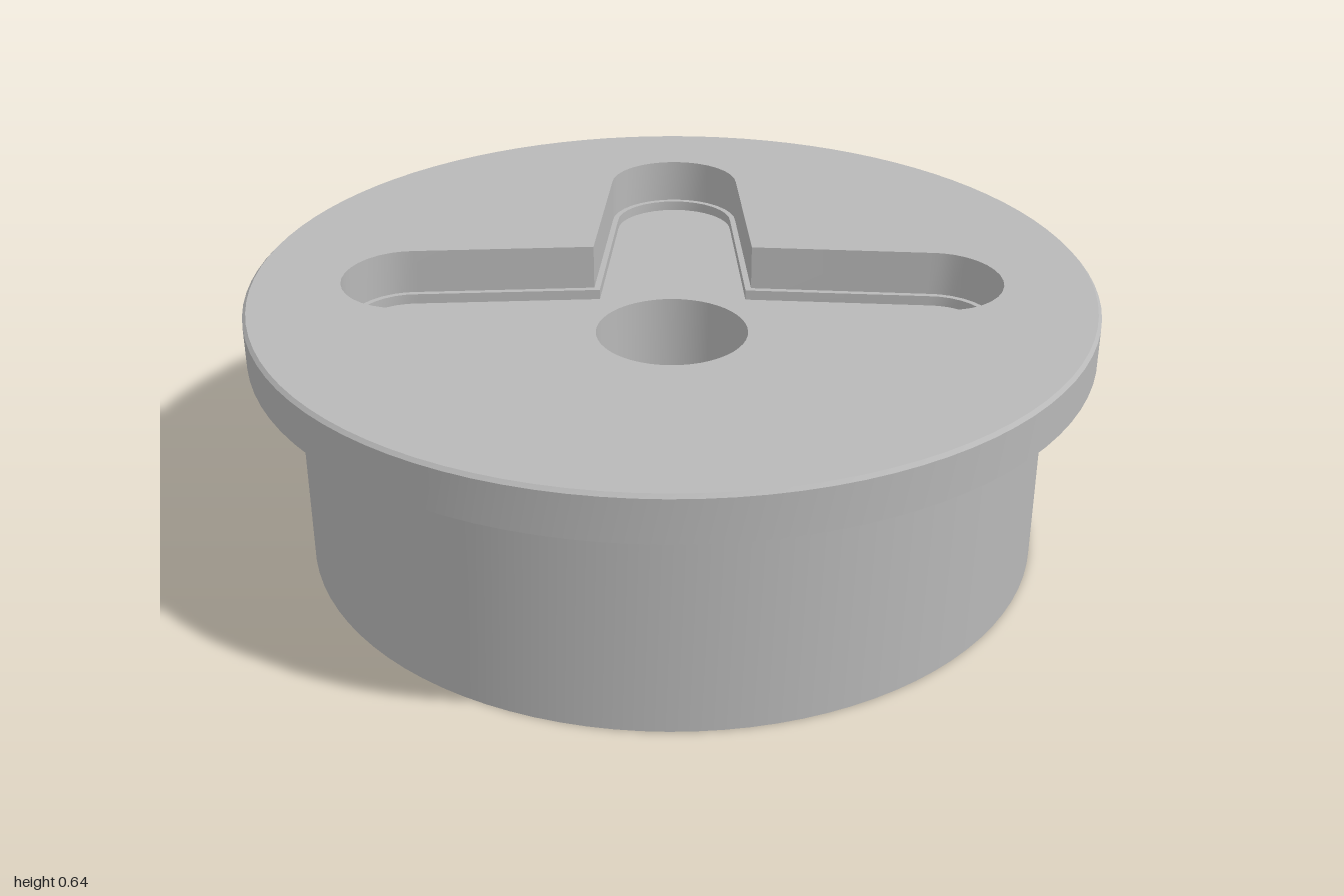
import * as THREE from 'three';
import { toCreasedNormals } from 'three/addons/utils/BufferGeometryUtils.js';

const BODY_R = 0.89, FLANGE_R = 1, BORE_R = 0.183;
const FLOOR_Y = 0.51, FLANGE_Y = 0.535, TOP_Y = 0.645, SOCKET_Y = 0.45;

// Counter-clockwise circle seen from above
function circle(r, n, cx = 0, cy = 0) {
  return Array.from({ length: n }, (_, i) => {
    const a = (i / n) * Math.PI * 2;
    return new THREE.Vector2(cx + r * Math.cos(a), cy + r * Math.sin(a));
  });
}

// Four tapering arms with rounded tips; inset shrinks the outline
function cross(inset) {
  const root = 0.195 - inset, half = 0.165 - inset, start = 0.63, reach = 0.785 - inset;
  const arm = [new THREE.Vector2(root, -root)];
  for (let i = 0; i <= 16; i++) {
    const a = -Math.PI / 2 + (i / 16) * Math.PI;
    arm.push(new THREE.Vector2(start + (reach - start) * Math.cos(a), half * Math.sin(a)));
  }
  const origin = new THREE.Vector2();
  return [0, 1, 2, 3].flatMap(k => arm.map(p => p.clone().rotateAround(origin, k * Math.PI / 2)));
}

// Band between two matching loops: low to high faces outward, high to low faces inward
function wall(loopA, yA, loopB, yB) {
  const n = loopA.length, pos = [], index = [];
  for (const [loop, y] of [[loopA, yA], [loopB, yB]]) {
    for (const p of loop) pos.push(p.x, y, -p.y);
  }
  for (let i = 0; i < n; i++) {
    const j = (i + 1) % n;
    index.push(i, j, n + j, i, n + j, n + i);
  }
  const geo = new THREE.BufferGeometry();
  geo.setAttribute('position', new THREE.Float32BufferAttribute(pos, 3));
  geo.setIndex(index);
  return toCreasedNormals(geo, 0.5);
}

// Flat face with holes, looking up or down
function cap(outline, holes, y, up = true) {
  const shape = new THREE.Shape(outline);
  shape.holes = holes.map(h => new THREE.Path(h));
  const geo = new THREE.ShapeGeometry(shape);
  geo.rotateX(up ? -Math.PI / 2 : Math.PI / 2);
  return geo.translate(0, y, 0);
}

export function createModel() {
  const model = new THREE.Group();
  const grey = new THREE.MeshStandardMaterial({ color: 0xb8b8b8 });
  grey.name = 'plain grey';
  const add = (name, geo) => {
    const mesh = new THREE.Mesh(geo, grey);
    mesh.name = name;
    model.add(mesh);
  };

  const body = circle(BODY_R, 96), flange = circle(FLANGE_R, 96);
  const rim = circle(FLANGE_R - 0.008, 96), bore = circle(BORE_R, 48);
  const slot = cross(0), slotLower = cross(0.014);
  const sockets = [1, 3, 5, 7].map(k => {
    const a = k * Math.PI / 4;
    return circle(0.145, 40, 0.633 * Math.cos(a), 0.633 * Math.sin(a));
  });

  // Drum body
  add('bodyWall', wall(body, 0, body, FLANGE_Y));
  add('bodyBase', cap(body, [bore, ...sockets], 0, false));

  // Wide flange with a slightly broken top edge
  add('flangeUnderside', cap(flange, [body], FLANGE_Y, false));
  add('flangeEdge', wall(flange, FLANGE_Y, flange, TOP_Y - 0.008));
  add('flangeBevel', wall(flange, TOP_Y - 0.008, rim, TOP_Y));
  add('flangeTop', cap(rim, [slot], TOP_Y));

  // Cross-shaped recess with a narrow ledge above its floor
  add('recessUpperWall', wall(slot, TOP_Y, slot, FLANGE_Y));
  add('recessLedge', cap(slot, [slotLower], FLANGE_Y));
  add('recessLowerWall', wall(slotLower, FLANGE_Y, slotLower, FLOOR_Y));
  add('recessFloor', cap(slotLower, [bore], FLOOR_Y));

  // Central through bore
  add('boreWall', wall(bore, FLOOR_Y, bore, 0));

  // Blind sockets in the base
  for (const s of sockets) {
    add('socketWall', wall(s, SOCKET_Y, s, 0));
    add('socketEnd', cap(s, [], SOCKET_Y, false));
  }
  return model;
}
